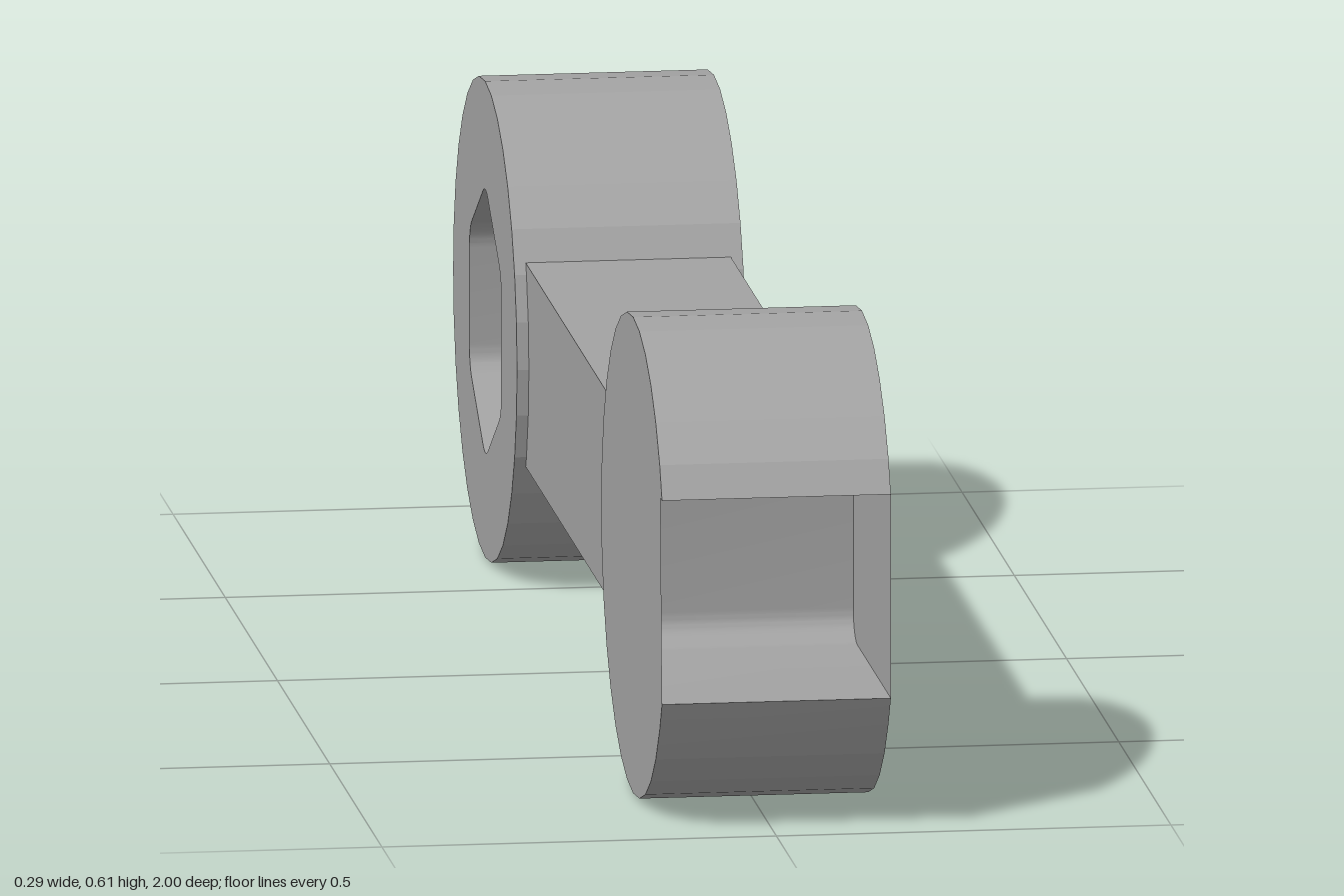
import * as THREE from 'three';
import { toCreasedNormals } from 'three/addons/utils/BufferGeometryUtils.js';

const R = 0.306, CY = 0.306, WIDTH = 0.29;   // head radius, centre height, head width
const RING_Z = -0.694, JAW_Z = 0.7235;       // head centres along the handle
const TOOL_Y = 0.304;                        // centre height of the slot and the hex hole
const HEX_Z = -0.692, HEX_R = 0.176;         // hex hole centre and corner radius
const SLOT = 0.131, SLOT_BACK = 0.64;        // slot half height, position of its back wall
const STEP = Math.PI / 16;                   // heads are 32-sided

const vec = (x, y) => new THREE.Vector2(x, y);
const onCircle = (cz, cy, r, a) => vec(cz + r * Math.cos(a), cy + r * Math.sin(a));

// Points of an arc of radius r that rounds corner p between neighbours a and b
function fillet(a, p, b, r, n) {
  const u = a.clone().sub(p).normalize(), v = b.clone().sub(p).normalize();
  const half = Math.acos(u.dot(v)) / 2;
  const c = u.clone().add(v).normalize().multiplyScalar(r / Math.sin(half)).add(p);
  const t = r / Math.tan(half);
  const start = p.clone().addScaledVector(u, t).sub(c);
  const end = p.clone().addScaledVector(v, t).sub(c);
  const sweep = Math.atan2(start.cross(end), start.dot(end));
  return Array.from({ length: n + 1 }, (_, i) =>
    start.clone().rotateAround(vec(0, 0), sweep * i / n).add(c));
}

// Profile drawn in (z, y), extruded across x; small fillet steps stay smooth
function extrudeAcross(shape) {
  const g = new THREE.ExtrudeGeometry(shape, { depth: WIDTH, bevelEnabled: false });
  g.translate(0, 0, -WIDTH / 2).rotateY(-Math.PI / 2);
  return toCreasedNormals(g, THREE.MathUtils.degToRad(9));
}

export function createModel() {
  const group = new THREE.Group();
  group.name = 'wrench';
  const steel = new THREE.MeshStandardMaterial({ color: 0xa2a2a2 });
  const thinSteel = new THREE.MeshStandardMaterial({ color: 0xa2a2a2, side: THREE.DoubleSide });
  const add = (name, geometry, material = steel) => {
    const mesh = new THREE.Mesh(geometry, material);
    mesh.name = name;
    group.add(mesh);
    return mesh;
  };

  // Handle bar, its ends buried in the heads
  const handle = add('handle', new THREE.BoxGeometry(0.26, 0.262, 1.03));
  handle.position.set(0, CY, 0.015);

  // Ring head with a rounded hexagonal hole
  const ring = new THREE.Shape(
    Array.from({ length: 32 }, (_, i) => onCircle(RING_Z, CY, R, i * STEP)));
  const hex = Array.from({ length: 6 }, (_, i) =>
    onCircle(HEX_Z, TOOL_Y, HEX_R, Math.PI / 2 + i * Math.PI / 3));
  ring.holes.push(new THREE.Path(
    hex.flatMap((p, i) => fillet(hex[(i + 5) % 6], p, hex[(i + 1) % 6], 0.045, 8)).reverse()));
  add('ringHead', extrudeAcross(ring));

  // Slot outline, from the lower front round the back to the upper front
  const low = vec(1, TOOL_Y - SLOT), high = vec(1, TOOL_Y + SLOT);
  const lowBack = vec(SLOT_BACK, low.y), highBack = vec(SLOT_BACK, high.y);
  const slot = [
    low,
    ...fillet(low, lowBack, highBack, 0.04, 12),
    ...fillet(lowBack, highBack, high, 0.04, 12),
  ];

  // Jaw head, cut flat at the front and open along the slot
  const arc = [];
  for (let i = 3; i <= 29; i++) arc.push(onCircle(JAW_Z, CY, R, i * STEP));
  add('jawHead', extrudeAcross(new THREE.Shape([...arc, ...slot, high])));

  // Thin side plates over the slot; the right one stops just short at the top
  for (const [name, x, topZ] of [['leftSlotPlate', WIDTH / 2, 1], ['rightSlotPlate', -WIDTH / 2, 0.986]]) {
    const plate = new THREE.ShapeGeometry(new THREE.Shape([...slot, vec(topZ, high.y)]));
    add(name, plate.rotateY(-Math.PI / 2), thinSteel).position.x = x;
  }

  return group;
}
